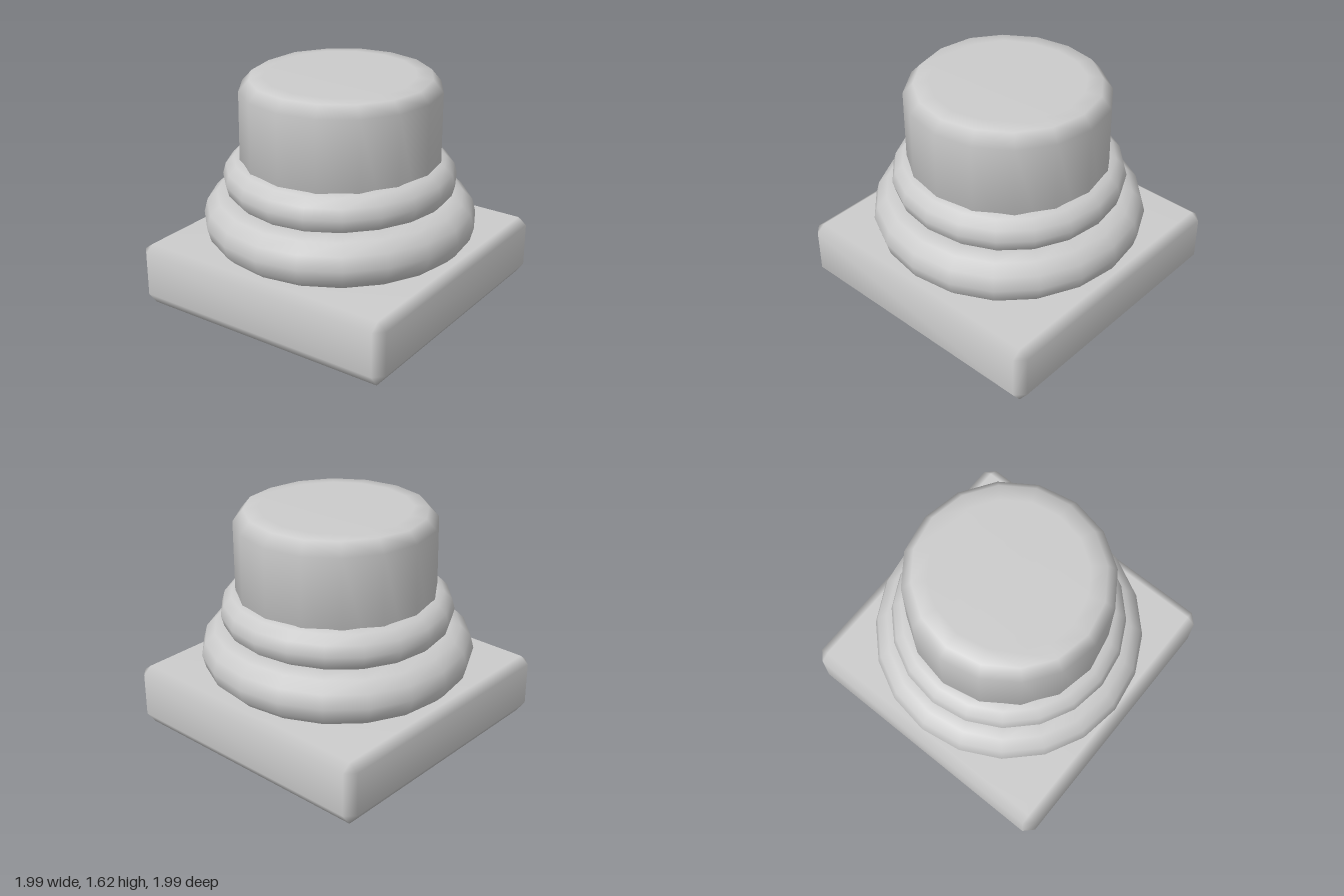
import * as THREE from 'three';
import { ConvexGeometry } from 'three/addons/geometries/ConvexGeometry.js';
import { mergeVertices } from 'three/addons/utils/BufferGeometryUtils.js';

const stone = new THREE.MeshStandardMaterial({ color: 0xcccccc });

// Moves every vertex of a geometry by a rule
function reshape(geometry, rule) {
  const pos = geometry.attributes.position;
  const v = new THREE.Vector3();
  for (let i = 0; i < pos.count; i++) {
    v.fromBufferAttribute(pos, i);
    rule(v);
    pos.setXYZ(i, v.x, v.y, v.z);
  }
  return geometry;
}

function addPart(group, name, geometry) {
  const mesh = new THREE.Mesh(geometry, stone);
  mesh.name = name;
  group.add(mesh);
}

// Square slab with chamfered edges and softly blended normals
function plinthGeometry() {
  const inner = 0.93, outer = 0.995;
  const points = [];
  for (const sx of [-1, 1]) for (const sz of [-1, 1]) {
    for (const y of [0, 0.45]) points.push(new THREE.Vector3(sx * inner, y, sz * inner));
    for (const y of [0.09, 0.4]) {
      points.push(new THREE.Vector3(sx * outer, y, sz * inner));
      points.push(new THREE.Vector3(sx * inner, y, sz * outer));
    }
  }
  const geometry = new ConvexGeometry(points);
  geometry.deleteAttribute('normal');
  const welded = mergeVertices(geometry, 0.001);
  welded.computeVertexNormals();
  return welded;
}

// Rounded ring moulding, very slightly uneven as if hand carved
function ringGeometry(major, tube, y, phase) {
  const geometry = new THREE.TorusGeometry(major, tube, 12, 20);
  geometry.rotateX(Math.PI / 2);
  geometry.translate(0, y, 0);
  return reshape(geometry, (v) => {
    v.y += 0.006 * Math.sin(3 * Math.atan2(v.z, v.x) + phase);
  });
}

// Column stub with a chamfered, slightly worn top
function drumGeometry() {
  const profile = [[0, 0.44], [0.7, 0.44], [0.7, 1.52], [0.63, 1.595], [0.52, 1.605], [0, 1.605]];
  const geometry = new THREE.LatheGeometry(profile.map(([x, y]) => new THREE.Vector2(x, y)), 16);
  return reshape(geometry, (v) => {
    if (v.y < 1.5) return;
    if (v.x < -0.4) v.x += 0.018;
    if (v.y > 1.55 && v.z < -0.1) v.y += 0.01;
  });
}

export function createModel() {
  const model = new THREE.Group();
  model.name = 'columnBase';
  addPart(model, 'plinth', plinthGeometry());
  addPart(model, 'lowerRing', ringGeometry(0.765, 0.187, 0.6, 0));
  addPart(model, 'upperRing', ringGeometry(0.66, 0.15, 0.89, 1));
  addPart(model, 'columnDrum', drumGeometry());
  return model;
}
